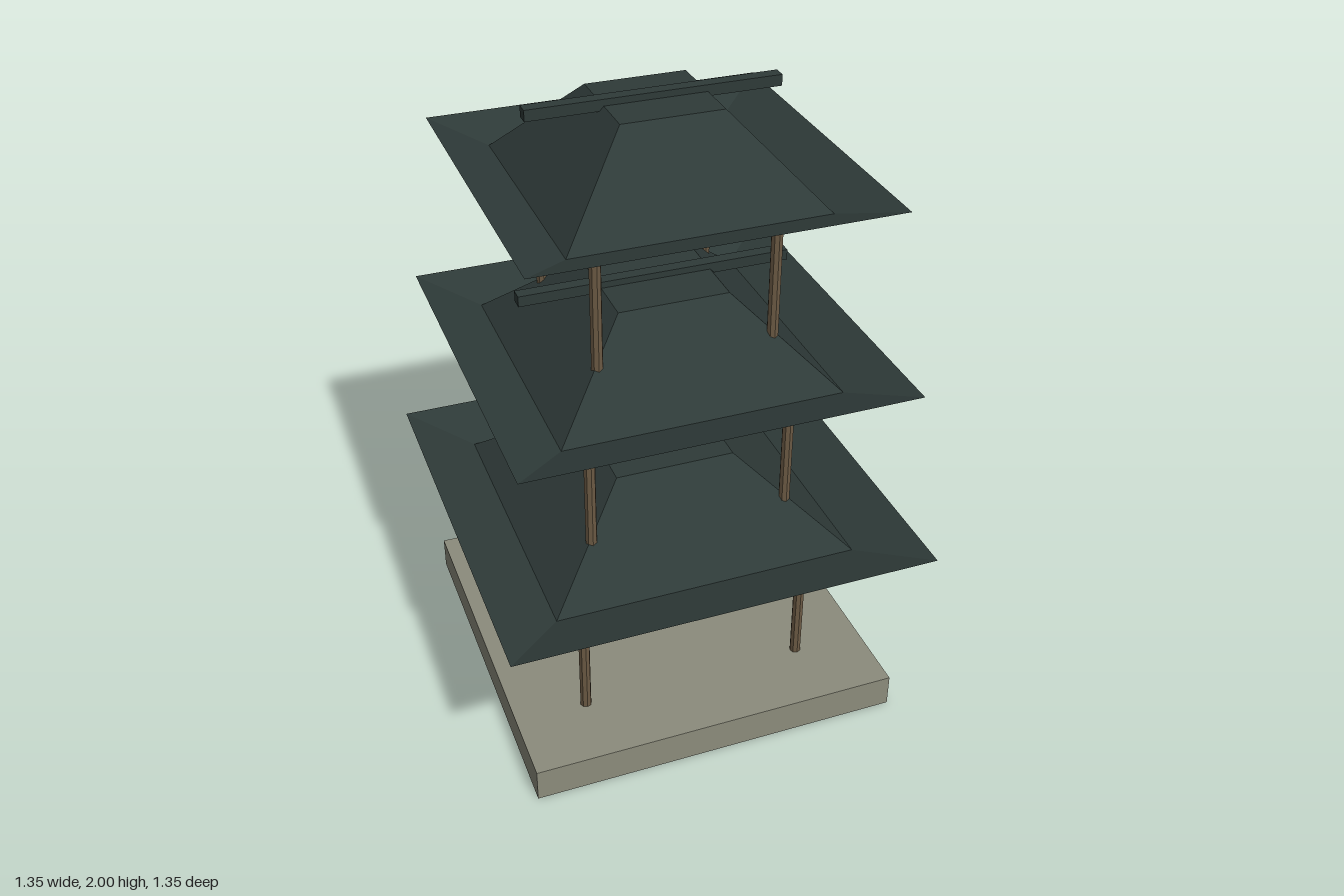
import * as THREE from 'three';

const stone = new THREE.MeshStandardMaterial({ name: 'stone', color: 0x8c8c7c });
const wood = new THREE.MeshStandardMaterial({ name: 'wood', color: 0x6b5a44, flatShading: true });
const slate = new THREE.MeshStandardMaterial({ name: 'slate', color: 0x2e3a38, flatShading: true, side: THREE.DoubleSide });

function addMesh(parent, name, geometry, material, x, y, z) {
  const mesh = new THREE.Mesh(geometry, material);
  mesh.name = name;
  mesh.position.set(x, y, z);
  parent.add(mesh);
  return mesh;
}

// Open square roof shell: upturned eave, sloping sides and a flat cap
function roofGeometry(eave) {
  const profile = [[eave, 0.05], [eave * 0.716, 0], [eave * 0.286, 0.25], [0, 0.25]];
  const points = profile.map(([half, y]) => new THREE.Vector2(half * Math.SQRT2, y));
  return new THREE.LatheGeometry(points, 4, Math.PI / 4);
}

export function createModel() {
  const model = new THREE.Group();
  model.name = 'pagoda';

  addMesh(model, 'base', new THREE.BoxGeometry(1.2, 0.11, 1.2), stone, 0, 0.055, 0);

  const tiers = [
    { name: 'lowerTier', eave: 0.675, roofY: 0.59, post: 0.367, from: 0.11, to: 0.62, ridge: 0.475 },
    { name: 'middleTier', eave: 0.607, roofY: 1.16, post: 0.318, from: 0.715, to: 1.19, ridge: 0.428 },
    { name: 'upperTier', eave: 0.541, roofY: 1.73, post: 0.272, from: 1.295, to: 1.765, ridge: 0.383 },
  ];

  for (const t of tiers) {
    const tier = new THREE.Group();
    tier.name = t.name;
    model.add(tier);

    // Four corner posts
    const height = t.to - t.from;
    const postGeometry = new THREE.CylinderGeometry(0.018, 0.018, height, 8);
    for (const x of [-1, 1]) {
      for (const z of [-1, 1]) {
        addMesh(tier, 'post', postGeometry, wood, x * t.post, t.from + height / 2, z * t.post);
      }
    }

    // Roof and the ridge beam lying across its cap
    addMesh(tier, 'roof', roofGeometry(t.eave), slate, 0, t.roofY, 0);
    addMesh(tier, 'ridgeBeam', new THREE.BoxGeometry(t.ridge * 2, 0.034, 0.04), slate, 0, t.roofY + 0.253, 0);
  }
  return model;
}
